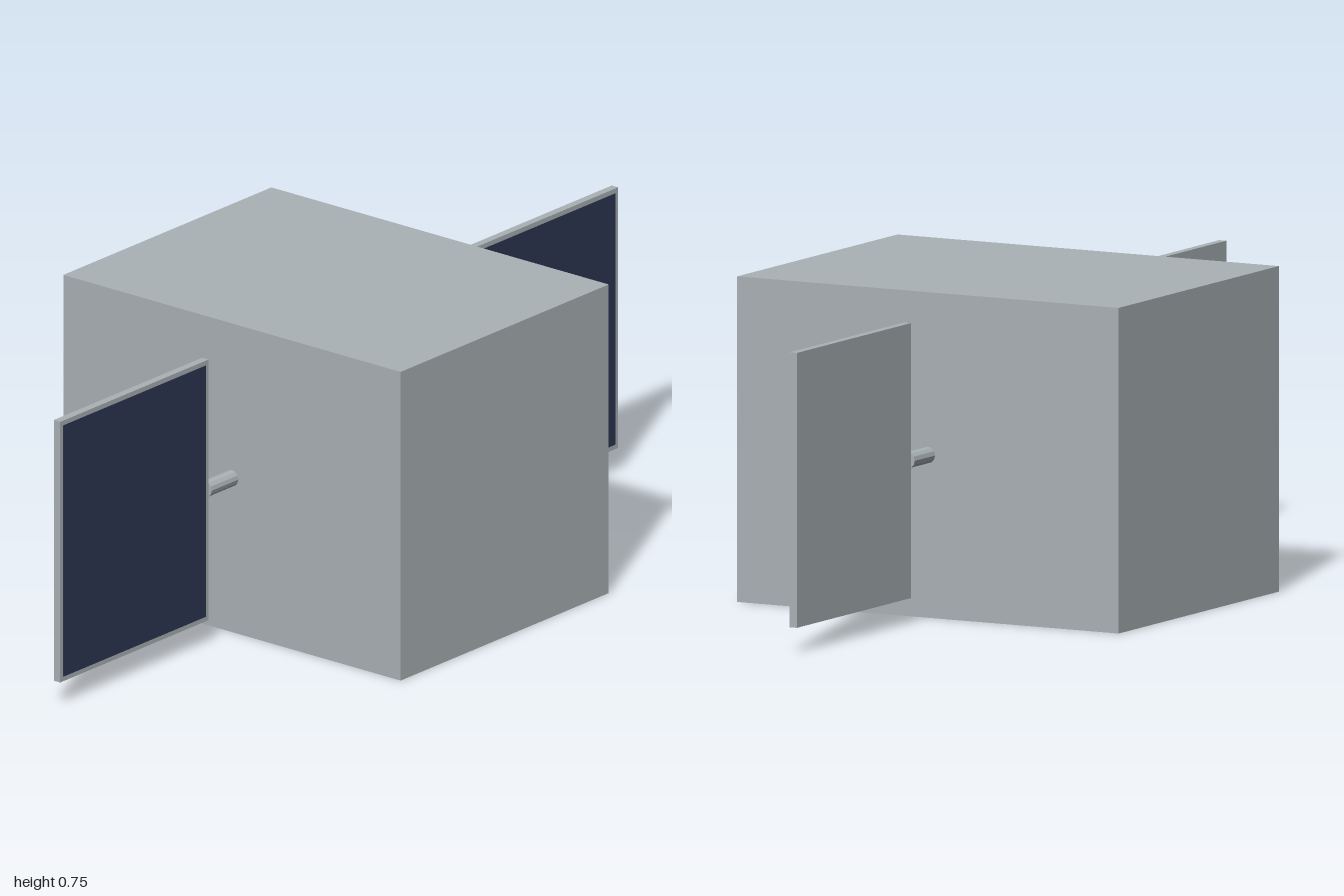
import * as THREE from 'three';

export function createModel() {
  const model = new THREE.Group();
  const grey = new THREE.MeshStandardMaterial({ color: 0xaab2b5 });
  grey.name = 'hullGrey';
  const navy = new THREE.MeshStandardMaterial({ color: 0x2e3753 });
  navy.name = 'cellNavy';

  function add(parent, name, geometry, material, x, y, z) {
    const mesh = new THREE.Mesh(geometry, material);
    mesh.name = name;
    mesh.position.set(x, y, z);
    parent.add(mesh);
    return mesh;
  }

  // Main box
  const midY = 0.376;
  add(model, 'body', new THREE.BoxGeometry(0.746, 0.752, 1), grey, 0, midY, 0);

  // Faceted strut shared by both sides
  const strutGeometry = new THREE.CylinderGeometry(0.019, 0.019, 0.096, 12).toNonIndexed();
  strutGeometry.rotateZ(Math.PI / 2);
  strutGeometry.computeVertexNormals();

  // A wing on each side: strut, framed panel and a cell sheet on the front only
  for (const side of [-1, 1]) {
    const wing = new THREE.Group();
    wing.name = side > 0 ? 'leftWing' : 'rightWing';
    add(wing, 'strut', strutGeometry, grey, side * 0.42, midY, 0);
    add(wing, 'panel', new THREE.BoxGeometry(0.532, 0.635, 0.019), grey, side * 0.734, midY, 0);
    add(wing, 'solarCells', new THREE.BoxGeometry(0.51, 0.612, 0.002), navy, side * 0.734, midY, 0.0096);
    model.add(wing);
  }
  return model;
}
